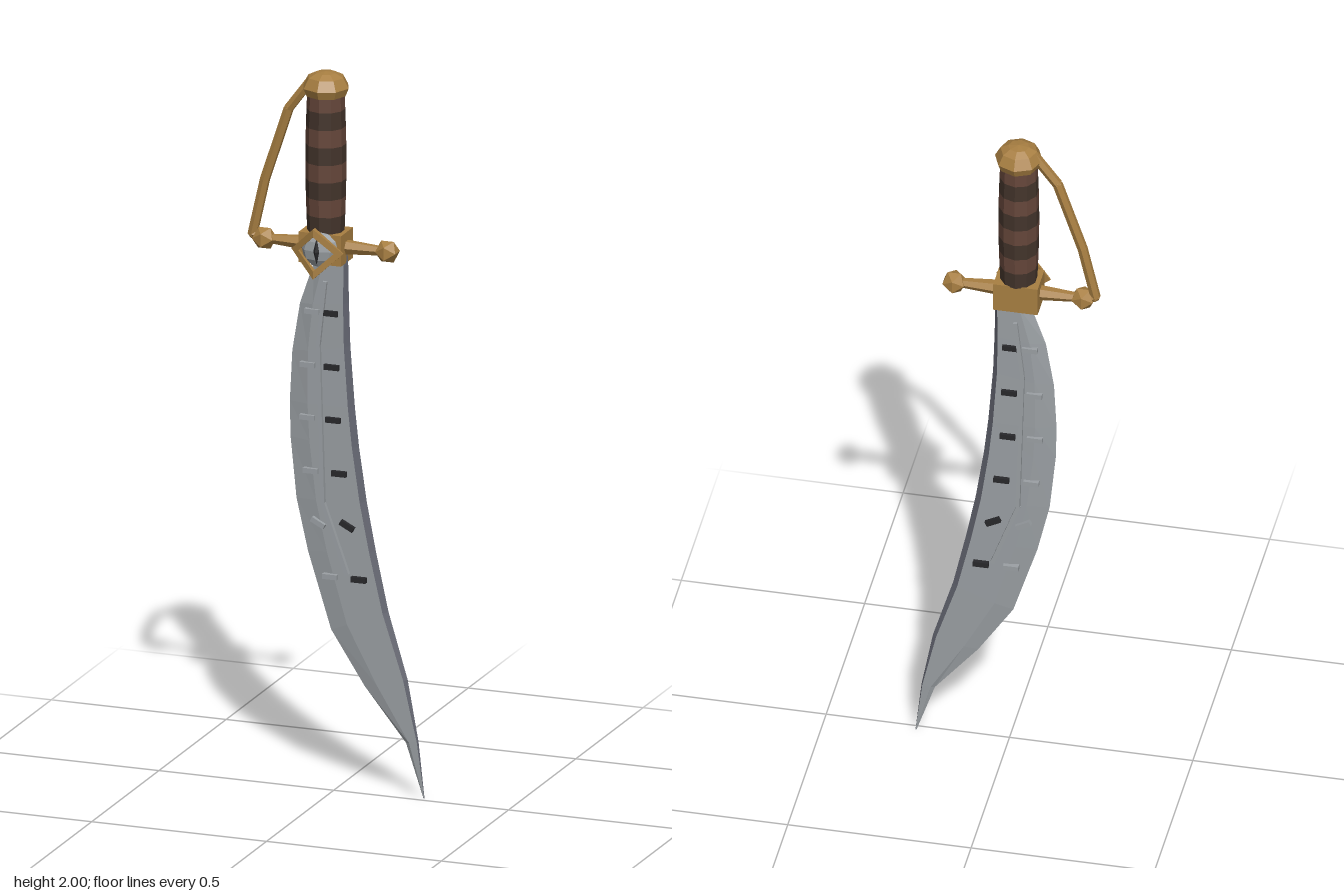
import * as THREE from 'three';

const CX = -0.029, CZ = -0.017; // axis of the hilt

const mat = (name, color) => {
  const m = new THREE.MeshStandardMaterial({ color, flatShading: true });
  m.name = name;
  return m;
};

export function createModel() {
  const gold = mat('gold', 0xa87f42);
  const steel = mat('steel', 0x9ba0a4);
  const darkSteel = mat('dark steel', 0x62646f);
  const black = mat('black', 0x28282b);
  const brown = mat('brown leather', 0x65463a);
  const darkBrown = mat('dark leather', 0x43342b);

  const root = new THREE.Group();
  root.name = 'curvedSword';
  const add = (name, geo, material, x = 0, y = 0, z = 0) => {
    const m = new THREE.Mesh(geo, material);
    m.name = name;
    m.position.set(x, y, z);
    root.add(m);
    return m;
  };

  // Bar of a given radius between two points
  const bar = (name, a, b, r0, r1, sides, material) => {
    const d = b.clone().sub(a);
    const m = add(name, new THREE.CylinderGeometry(r1, r0, d.length(), sides), material);
    m.position.copy(a).addScaledVector(d, 0.5);
    m.quaternion.setFromUnitVectors(new THREE.Vector3(0, 1, 0), d.normalize());
    return m;
  };
  const V = (x, y, z = CZ) => new THREE.Vector3(x, y, z);

  // Blade: cutting edge x, y then spine x, y, then half thickness
  const rows = [
    [-0.055, 1.50, 0.033, 1.50, 0.015], [-0.062, 1.465, 0.035, 1.465, 0.015],
    [-0.103, 1.345, 0.037, 1.36, 0.015], [-0.125, 1.21, 0.041, 1.24, 0.014],
    [-0.132, 1.07, 0.054, 1.07, 0.014], [-0.130, 0.97, 0.066, 0.96, 0.013],
    [-0.113, 0.80, 0.088, 0.81, 0.012], [-0.080, 0.655, 0.114, 0.675, 0.011],
    [-0.014, 0.443, 0.150, 0.51, 0.010], [0.082, 0.295, 0.205, 0.326, 0.008],
    [0.200, 0.15, 0.236, 0.157, 0.006], [0.25, 0, 0.253, 0, 0.001],
  ];
  const section = [[0, 0], [0.3, 1], [0.92, 1], [1, 0], [0.92, -1], [0.3, -1]];
  const rings = rows.map(([lx, ly, rx, ry, t]) => section.map(([u, w]) =>
    [lx + (rx - lx) * u, ly + (ry - ly) * u, CZ + w * t]));
  const strip = (sides) => {
    const pos = [];
    for (let k = 0; k < rings.length - 1; k++) {
      for (const i of sides) {
        const j = (i + 1) % 6, A = rings[k], B = rings[k + 1];
        pos.push(...A[i], ...B[i], ...B[j], ...A[i], ...B[j], ...A[j]);
      }
    }
    const g = new THREE.BufferGeometry();
    g.setAttribute('position', new THREE.Float32BufferAttribute(pos, 3));
    g.computeVertexNormals();
    return g;
  };
  add('blade', strip([0, 1, 4, 5]), steel);
  add('bladeSpine', strip([2, 3]), darkSteel);

  // Raised centre ridge running through both faces
  const ridge = [[-0.024, 1.415], [-0.043, 1.24], [-0.030, 0.80], [0.038, 0.61]];
  for (let i = 0; i < ridge.length - 1; i++) {
    const [ax, ay] = ridge[i], [bx, by] = ridge[i + 1];
    const len = Math.hypot(bx - ax, by - ay) + 0.006;
    const m = add('bladeRidge', new THREE.BoxGeometry(0.011, len, 0.048), steel,
      (ax + bx) / 2, (ay + by) / 2, CZ);
    m.rotation.z = Math.atan2(ax - bx, by - ay) + Math.PI;
  }

  // Pairs of short marks: steel beside the edge, black beside the spine
  const marks = [
    [1.33, -0.062, -0.009, 0], [1.18, -0.075, -0.006, 0], [1.033, -0.076, -0.002, 0],
    [0.885, -0.066, 0.015, 0], [0.742, -0.045, 0.038, -0.48], [0.595, -0.011, 0.071, 0],
  ];
  for (const [y, lx, rx, tilt] of marks) {
    add('steelMark', new THREE.BoxGeometry(0.042, 0.014, 0.044), steel, lx, y, CZ).rotation.z = tilt;
    add('blackMark', new THREE.BoxGeometry(0.042, 0.015, 0.046), black, rx, y, CZ).rotation.z = tilt;
  }

  // Crossguard: block, tapered arms and faceted balls
  const gy = 1.515;
  add('guardBlock', new THREE.BoxGeometry(0.121, 0.085, 0.09), gold, CX, gy, CZ);
  for (const s of [-1, 1]) {
    bar('guardArm', V(CX + s * 0.05, gy), V(CX + s * 0.16, gy), 0.021, 0.013, 6, gold);
    add('guardBall', new THREE.IcosahedronGeometry(0.034, 0), gold, CX + s * 0.176, gy, CZ);
  }

  // Grip: alternating leather bands with a slight swell
  const bands = 8, y0 = 1.555, y1 = 1.945, h = (y1 - y0) / bands;
  const gripR = (t) => 0.050 + 0.005 * Math.sin(Math.PI * t);
  for (let i = 0; i < bands; i++) {
    add('gripBand', new THREE.CylinderGeometry(gripR((i + 1) / bands), gripR(i / bands), h, 10),
      i % 2 ? brown : darkBrown, CX, y0 + h * (i + 0.5), CZ);
  }

  // Pommel: faceted octagonal dome
  const dome = [[0, 1.935], [0.056, 1.935], [0.065, 1.957], [0.050, 1.985], [0.028, 1.996], [0, 2]];
  const pommel = add('pommel', new THREE.LatheGeometry(
    dome.map(([r, y]) => new THREE.Vector2(r, y)), 8), gold, CX, 0, CZ);
  pommel.rotation.y = 0;

  // Knuckle bow from pommel to guard
  const bow = [V(-0.07, 1.972), V(-0.135, 1.885), V(-0.203, 1.68), V(-0.238, 1.525), V(-0.205, gy)];
  for (let i = 0; i < bow.length - 1; i++) {
    bar('knuckleBow', bow[i], bow[i + 1], 0.014, 0.014, 6, gold);
    if (i) add('knuckleBowJoint', new THREE.IcosahedronGeometry(0.0145, 0), gold, bow[i].x, bow[i].y, CZ);
  }

  // Eye ornament: faceted steel eye, slit pupil, saddle-bent diamond frame
  const eye = add('eye', new THREE.SphereGeometry(1, 8, 6), steel, CX, gy, 0.028);
  eye.scale.set(0.052, 0.05, 0.029);
  const pupil = add('pupil', new THREE.OctahedronGeometry(1, 0), black, CX, gy, 0.052);
  pupil.scale.set(0.011, 0.036, 0.013);

  const W = 0.074, H = 0.07;
  const diamond = (path, k) => {
    path.moveTo(W * k, 0);
    path.lineTo(0, H * k);
    path.lineTo(-W * k, 0);
    path.lineTo(0, -H * k);
    path.closePath();
    return path;
  };
  const shape = diamond(new THREE.Shape(), 1);
  shape.holes.push(diamond(new THREE.Path(), 0.68));
  const frame = new THREE.ExtrudeGeometry(shape, { depth: 1, bevelEnabled: false });
  const p = frame.attributes.position;
  for (let i = 0; i < p.count; i++) {
    const u = Math.abs(p.getX(i)) / W;
    p.setZ(i, 0.08 - 0.033 * u - (1 - p.getZ(i)) * (0.016 - 0.012 * u));
  }
  frame.computeVertexNormals();
  add('eyeFrame', frame, gold, CX, gy, 0);

  return root;
}
